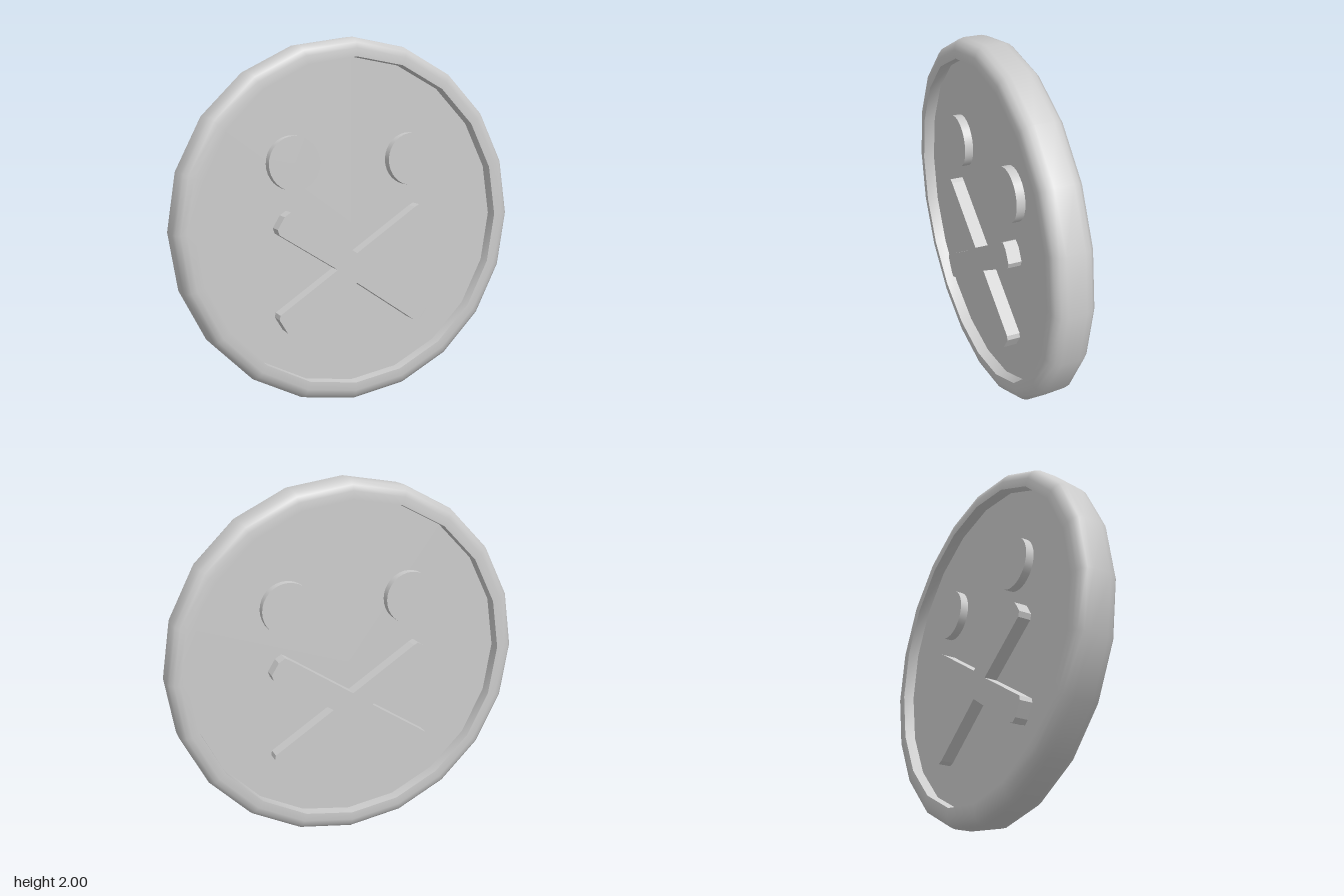
import * as THREE from 'three';
import { toCreasedNormals } from 'three/addons/utils/BufferGeometryUtils.js';

const CENTER_Y = 1, FLOOR = 0.045, RIM = 0.11, INNER = 0.895, BEVEL = 0.06;

export function createModel() {
  const group = new THREE.Group();
  const material = new THREE.MeshStandardMaterial({ color: 0xcccccc });
  const add = (name, geometry) => {
    const mesh = new THREE.Mesh(geometry, material);
    mesh.name = name;
    group.add(mesh);
    return mesh;
  };

  // Coin disc: recessed faces, raised rim with rounded outer corners, 20 sides
  const half = [[0, FLOOR], [INNER, FLOOR], [INNER, RIM]];
  for (let i = 0; i <= 3; i++) {
    const a = (i / 3) * Math.PI / 2;
    half.push([1 - BEVEL + BEVEL * Math.sin(a), RIM - BEVEL + BEVEL * Math.cos(a)]);
  }
  const profile = [
    ...half.map(([r, z]) => new THREE.Vector2(r, -z)),
    ...half.reverse().map(([r, z]) => new THREE.Vector2(r, z)),
  ];
  const disc = new THREE.LatheGeometry(profile, 20).rotateX(Math.PI / 2);
  add('coinDisc', toCreasedNormals(disc, 0.7)).position.y = CENTER_Y;

  // Round eyes, standing out of both recessed faces
  for (const side of [1, -1]) {
    const eye = new THREE.CylinderGeometry(0.145, 0.145, 0.184, 32).rotateX(Math.PI / 2);
    add(side > 0 ? 'leftEye' : 'rightEye', eye).position.set(0.35 * side, 1.34, 0);
  }

  // Crossed mouth with clipped bar ends: right half of the outline, then mirrored
  const outline = [
    [0, 0.84], [0.36, 1.075], [0.385, 1.088], [0.42, 1.065], [0.46, 1.0], [0.45, 0.97],
    [0.115, 0.757],
    [0.45, 0.54], [0.455, 0.515], [0.41, 0.44], [0.385, 0.42], [0.355, 0.43], [0, 0.675],
  ];
  const mirrored = outline.slice(1, -1).reverse().map(([x, y]) => [-x, y]);
  const shape = new THREE.Shape([...outline, ...mirrored].map(([x, y]) => new THREE.Vector2(x, y)));
  const cross = new THREE.ExtrudeGeometry(shape, { depth: 0.236, bevelEnabled: false });
  add('crossedMouth', cross.translate(0, 0, -0.118));

  return group;
}
